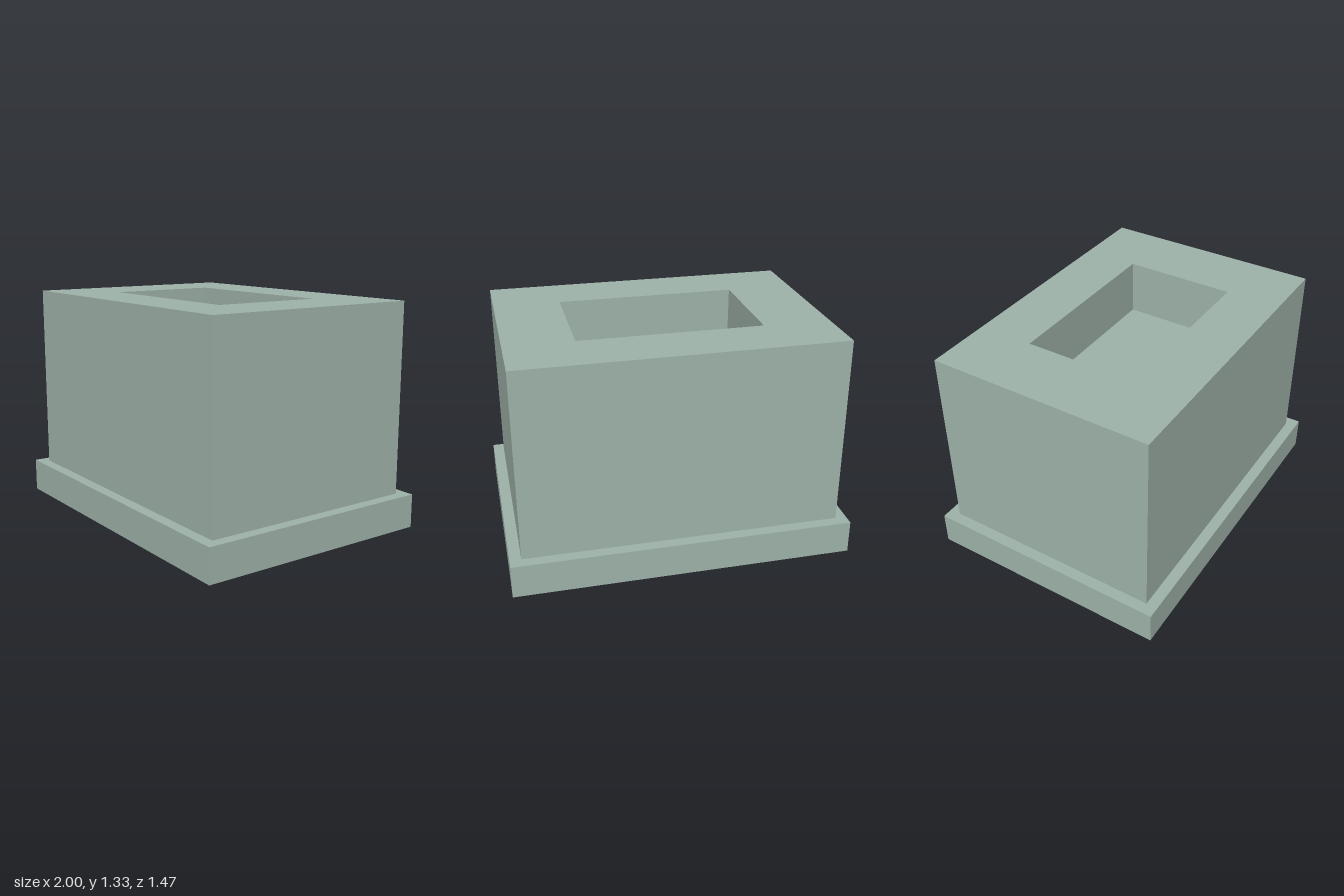
import * as THREE from 'three';

const BASE = { w: 2, h: 0.2, d: 1.467 };
const BODY = { w: 1.867, top: 1.333, d: 1.333 };
const RECESS = { w: 1.073, floor: 1.0, d: 0.667 };

// Corner points of a centred rectangle
function rectangle(w, d) {
  return [[-1, -1], [1, -1], [1, 1], [-1, 1]].map(
    ([x, y]) => new THREE.Vector2((x * w) / 2, (y * d) / 2));
}

export function createModel() {
  const model = new THREE.Group();
  model.name = 'pedestalBlock';
  const sage = new THREE.MeshStandardMaterial({ color: 0x9fb3aa });
  sage.name = 'sage green';

  function add(name, geometry, y) {
    const mesh = new THREE.Mesh(geometry, sage);
    mesh.name = name;
    mesh.position.y = y;
    model.add(mesh);
  }

  // Wide plinth
  add('base', new THREE.BoxGeometry(BASE.w, BASE.h, BASE.d), BASE.h / 2);

  // Body walls around a rectangular opening
  const outline = new THREE.Shape(rectangle(BODY.w, BODY.d));
  outline.holes.push(new THREE.Path(rectangle(RECESS.w, RECESS.d).reverse()));
  const walls = new THREE.ExtrudeGeometry(outline, {
    depth: BODY.top - BASE.h, bevelEnabled: false,
  });
  walls.rotateX(-Math.PI / 2);
  add('body', walls, BASE.h);

  // Solid core whose top is the floor of the recess
  const coreHeight = RECESS.floor - BASE.h;
  add('recessFloor', new THREE.BoxGeometry(RECESS.w, coreHeight, RECESS.d),
    BASE.h + coreHeight / 2);

  return model;
}
